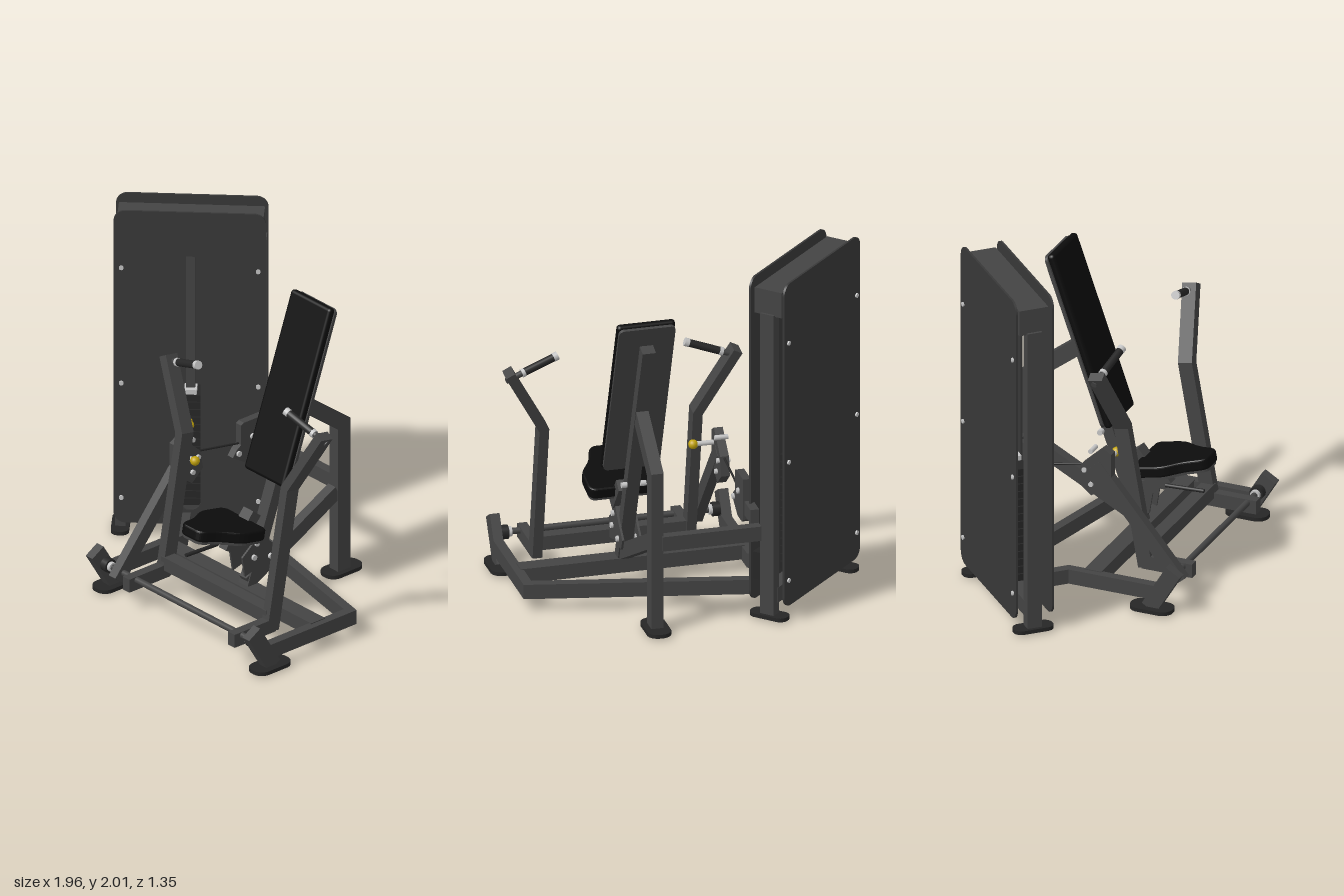
import * as THREE from 'three';
import { RoundedBoxGeometry } from 'three/addons/geometries/RoundedBoxGeometry.js';

const mat = (name, color) => Object.assign(new THREE.MeshStandardMaterial({ color }), { name });
const V = (p) => new THREE.Vector3(...p);

export function createModel() {
  const model = new THREE.Group();
  model.name = 'chestPressMachine';
  const frame = mat('frameGrey', 0x444444), panel = mat('panelGrey', 0x383838), dark = mat('rubberDark', 0x262626);
  const pad = mat('padBlack', 0x0c0c0c), silver = mat('silver', 0xc4c4c4), yellow = mat('yellow', 0xc2a30c);
  const CX = 0.305; // centre line of the seat and arms

  const add = (name, geo, m, pos = [0, 0, 0], parent = model) => {
    const mesh = new THREE.Mesh(geo, m);
    mesh.name = name;
    mesh.position.set(...pos);
    parent.add(mesh);
    return mesh;
  };
  const box = (name, size, pos, m = frame, parent = model) => add(name, new THREE.BoxGeometry(...size), m, pos, parent);

  // Mitred rectangular tube along a path; w is measured along n, h across it
  const tube = (name, path, n, w, h, m = frame, parent = model) => {
    const pts = path.map(V), side = V(n).normalize(), pos = [];
    const across = (i) => side.clone().cross(pts[i + 1].clone().sub(pts[i])).normalize();
    const rings = pts.map((p, i) => {
      const a = across(Math.max(i - 1, 0)), b = across(Math.min(i, pts.length - 2));
      const mid = a.clone().add(b).normalize();
      mid.multiplyScalar(h / 2 / mid.dot(a));
      return [[1, 1], [-1, 1], [-1, -1], [1, -1]].map(([s, t]) =>
        p.clone().addScaledVector(side, s * w / 2).addScaledVector(mid, t));
    });
    const quad = (a, b, c, d) => [a, b, c, a, c, d].forEach((v) => pos.push(v.x, v.y, v.z));
    for (let i = 0; i < rings.length - 1; i++) {
      for (let k = 0; k < 4; k++) {
        const l = (k + 1) % 4;
        quad(rings[i][k], rings[i + 1][k], rings[i + 1][l], rings[i][l]);
      }
    }
    quad(...rings[0]);
    quad(...rings[rings.length - 1].slice().reverse());
    const geo = new THREE.BufferGeometry();
    geo.setAttribute('position', new THREE.Float32BufferAttribute(pos, 3));
    geo.computeVertexNormals();
    return add(name, geo, m, [0, 0, 0], parent);
  };

  // Round bar between two points
  const rod = (name, a, b, r, m = frame, parent = model) => {
    const p = V(a), q = V(b), d = q.clone().sub(p);
    const mesh = add(name, new THREE.CylinderGeometry(r, r, d.length(), 16), m, p.clone().add(q).multiplyScalar(0.5).toArray(), parent);
    mesh.quaternion.setFromUnitVectors(new THREE.Vector3(0, 1, 0), d.normalize());
    return mesh;
  };

  const roundRect = (w, h, r, y0 = 0, Type = THREE.Shape) => {
    const s = new Type(), x = w / 2, y1 = y0 + h;
    s.absarc(x - r, y0 + r, r, -Math.PI / 2, 0);
    s.absarc(x - r, y1 - r, r, 0, Math.PI / 2);
    s.absarc(-x + r, y1 - r, r, Math.PI / 2, Math.PI);
    s.absarc(-x + r, y0 + r, r, Math.PI, Math.PI * 1.5);
    s.closePath();
    return s;
  };
  const extrude = (shape, depth) => new THREE.ExtrudeGeometry(shape, { depth, bevelEnabled: false, curveSegments: 8 });

  // Flat rounded foot, length along z
  const foot = (x, z, w, l, parent = model) => {
    const geo = extrude(roundRect(w, l, w * 0.45, -l / 2), 0.022).rotateX(-Math.PI / 2);
    add('footPad', geo, dark, [x, 0, z], parent);
  };

  // Upright plate at a given x, outline in [z, y] pairs
  const sidePlate = (name, outline, x, t, m = frame) => {
    const s = new THREE.Shape(outline.map(([z, y]) => new THREE.Vector2(-z, y)));
    add(name, extrude(s, t).rotateY(Math.PI / 2), m, [x - t / 2, 0, 0]);
  };

  // ---- Weight tower, turned 45 degrees ----
  const tower = new THREE.Group();
  tower.name = 'weightTower';
  tower.position.set(-0.615, 0, -0.265);
  tower.rotation.y = Math.PI / 4;
  model.add(tower);
  const front = roundRect(0.835, 1.92, 0.065, 0.08);
  front.holes.push(roundRect(0.12, 1.56, 0.055, 0.17, THREE.Path));
  add('frontPanel', extrude(front, 0.012), panel, [0, 0, 0.1], tower);
  add('backPanel', extrude(roundRect(0.835, 1.92, 0.065, 0.08), 0.012), panel, [0, 0, -0.112], tower);
  box('towerHead', [0.8, 0.15, 0.17], [0, 1.875, 0], frame, tower);
  box('towerBase', [0.74, 0.09, 0.09], [0, 0.13, 0], frame, tower);
  for (const s of [-1, 1]) {
    box('towerColumn', [0.06, 1.8, 0.085], [s * 0.385, 0.91, 0], frame, tower);
    foot(s * 0.385, 0, 0.1, 0.23, tower);
    rod('guideRod', [s * 0.09, 0.17, 0], [s * 0.09, 1.8, 0], 0.012, silver, tower);
    for (const y of [0.235, 0.94, 1.65]) for (const z of [-0.115, 0.115])
      rod('panelBolt', [s * 0.375, y, z - 0.006], [s * 0.375, y, z + 0.006], 0.013, silver, tower);
  }
  for (let i = 0; i < 15; i++) box('weightPlate', [0.28, 0.04, 0.13], [0, 0.2 + i * 0.0455, 0.01], dark, tower);
  box('stackCap', [0.07, 0.03, 0.08], [0, 0.87, 0.03], silver, tower);
  box('selectorTube', [0.05, 0.9, 0.04], [0, 1.3, 0.02], frame, tower);
  rod('selectorPin', [0, 0.7, 0.07], [0, 0.7, 0.13], 0.013, yellow, tower);
  add('selectorKnob', new THREE.SphereGeometry(0.026, 16, 12), yellow, [0, 0.7, 0.13], tower);
  box('towerPulley', [0.07, 0.16, 0.1], [0.36, 0.29, 0.06], dark, tower);

  // ---- Base frame ----
  const up = [0, 1, 0], sideways = [1, 0, 0];
  tube('rightBaseRail', [[0.905, 0.11, 0.53], [0.905, 0.11, -0.085], [-0.38, 0.11, -0.36]], up, 0.085, 0.055);
  tube('leftBaseRail', [[-0.385, 0.11, 0.53], [-0.385, 0.11, 0], [-0.56, 0.11, -0.18]], up, 0.085, 0.055);
  box('baseCrossBeam', [1.27, 0.085, 0.1], [0.26, 0.115, 0.14]);
  for (const x of [0.905, -0.39]) {
    tube('frontFootStub', [[x, 0.015, 0.49], [x, 0.255, 0.635]], sideways, 0.055, 0.095);
    foot(x, 0.5, 0.135, 0.25);
    const s = Math.sign(x - CX);
    rod('pivotHub', [x - s * 0.07, 0.17, 0.58], [x, 0.17, 0.58], 0.04, dark);
    rod('pivotCollar', [x - s * 0.09, 0.17, 0.58], [x - s * 0.07, 0.17, 0.58], 0.028, silver);
  }
  rod('pivotRod', [-0.36, 0.17, 0.58], [0.87, 0.17, 0.58], 0.018);

  // ---- Rear post, strut and spine ----
  foot(CX, -0.55, 0.135, 0.25);
  tube('rearPost', [[CX, 0.01, -0.54], [CX, 0.92, -0.54], [CX, 1.15, -0.24]], sideways, 0.07, 0.09);
  box('towerLink', [0.56, 0.085, 0.055], [0.0, 0.525, -0.57]);
  tube('rearStrut', [[CX, 0.51, -0.5], [CX, 0.17, 0.15]], sideways, 0.06, 0.085);
  tube('backrestSpine', [[CX, 0.15, 0.135], [CX, 1.6, -0.385]], sideways, 0.075, 0.065);

  // ---- Backrest ----
  const backrest = new THREE.Group();
  backrest.name = 'backrest';
  backrest.position.set(CX, 1.247, -0.182);
  backrest.rotation.x = -0.34;
  model.add(backrest);
  add('backCushion', new RoundedBoxGeometry(0.33, 1.045, 0.045, 4, 0.02), pad, [0, 0, 0.01], backrest);
  add('backBoard', extrude(roundRect(0.32, 1.03, 0.03, -0.515), 0.018), frame, [0, 0, -0.032], backrest);

  // ---- Seat: wide at the back, narrow at the front ----
  const seat = new THREE.Group();
  seat.name = 'seat';
  seat.position.set(CX, 0.565, 0.35);
  seat.rotation.x = -0.2;
  model.add(seat);
  const outline = new THREE.Shape();
  outline.moveTo(-0.14, -0.195);
  outline.lineTo(0.14, -0.195);
  outline.quadraticCurveTo(0.175, -0.195, 0.175, -0.15);
  outline.lineTo(0.175, -0.06);
  outline.bezierCurveTo(0.17, 0.02, 0.11, 0.03, 0.085, 0.15);
  outline.quadraticCurveTo(0.075, 0.2, 0.04, 0.2);
  outline.lineTo(-0.04, 0.2);
  outline.quadraticCurveTo(-0.075, 0.2, -0.085, 0.15);
  outline.bezierCurveTo(-0.11, 0.03, -0.17, 0.02, -0.175, -0.06);
  outline.lineTo(-0.175, -0.15);
  outline.quadraticCurveTo(-0.175, -0.195, -0.14, -0.195);
  const cushion = new THREE.ExtrudeGeometry(outline, { depth: 0.04, bevelThickness: 0.012, bevelSize: 0.01, bevelSegments: 3, curveSegments: 8 });
  add('seatCushion', cushion.rotateX(Math.PI / 2), pad, [0, 0.025, 0], seat);
  add('seatBoard', extrude(outline, 0.016).rotateX(Math.PI / 2), frame, [0, -0.026, 0], seat);
  tube('seatStem', [[CX, 0.32, 0.06], [CX, 0.46, 0.3]], sideways, 0.06, 0.07);
  tube('seatSlide', [[CX, 0.44, 0.22], [CX, 0.59, 0.1]], sideways, 0.08, 0.07);
  rod('seatLever', [CX - 0.06, 0.44, 0.53], [CX - 0.06, 0.43, 0.3], 0.011, dark);
  for (const s of [-1, 1]) {
    const x = CX + s * 0.05;
    sidePlate('seatBracket', [[0.22, 0.36], [0.08, 0.47], [0.02, 0.4], [-0.06, 0.33], [-0.03, 0.265], [0.1, 0.27], [0.2, 0.24]], x, 0.012);
    for (const [z, y] of [[0.12, 0.42], [0.14, 0.34], [0.02, 0.31], [-0.09, 0.675]])
      rod('bracketBolt', [x - s * 0.012, y, z], [x + s * 0.02, y, z], 0.016, silver);
  }

  // ---- Press arms, mirrored about the seat centre ----
  for (const s of [-1, 1]) {
    const P = (dx, y, z) => [CX + s * dx, y, z];
    tube('pressArm', [P(0.435, 0.12, 0.355), P(0.435, 0.94, 0.21), P(0.645, 1.315, 0.143)], [0, 0.177, 1], 0.085, 0.055);
    box('armFoot', [0.055, 0.08, 0.3], P(0.435, 0.15, 0.485));
    rod('handleBar', P(0.66, 1.27, 0.135), P(0.37, 1.368, 0.172), 0.017);
    rod('handleGrip', P(0.55, 1.307, 0.149), P(0.385, 1.363, 0.17), 0.022, dark);
    rod('handleCollar', P(0.57, 1.3, 0.147), P(0.552, 1.306, 0.149), 0.024, silver);
    rod('handleCap', P(0.385, 1.363, 0.17), P(0.36, 1.372, 0.173), 0.024, silver);
  }
  box('armCrossBar', [0.87, 0.08, 0.075], [CX, 0.2, 0.345]);

  // ---- Drive lever and pulley beside the tower ----
  tube('driveLever', [[-0.24, 0.13, 0.61], [-0.24, 0.74, 0.1]], sideways, 0.055, 0.08);
  sidePlate('leverPlate', [[0.2, 0.82], [0.15, 0.85], [0.02, 0.73], [0.0, 0.62], [0.08, 0.55], [0.2, 0.64]], -0.24, 0.05);
  for (const [z, y] of [[0.08, 0.82], [0.04, 0.7], [0.08, 0.62]]) rod('leverBolt', [-0.275, y, z], [-0.2, y, z], 0.014, silver);
  rod('adjusterStem', [-0.24, 0.76, 0.16], [-0.12, 0.76, 0.16], 0.014, silver);
  add('adjusterKnob', new THREE.SphereGeometry(0.027, 16, 12), yellow, [-0.1, 0.76, 0.16]);
  sidePlate('pulleyPlate', [[-0.28, 0.78], [-0.3, 0.79], [-0.445, 0.79], [-0.445, 0.55], [-0.42, 0.53], [-0.33, 0.53], [-0.22, 0.6], [-0.25, 0.64], [-0.28, 0.66]], -0.24, 0.045);
  for (const [z, y] of [[-0.36, 0.69], [-0.26, 0.615]]) rod('pulleyBolt', [-0.265, y, z], [-0.205, y, z], 0.016, silver);
  rod('driveCable', [-0.24, 0.72, 0.03], [-0.24, 0.66, -0.3], 0.006, dark);
  box('pulleyMount', [0.05, 0.08, 0.16], [-0.25, 0.62, -0.49]);
  return model;
}
